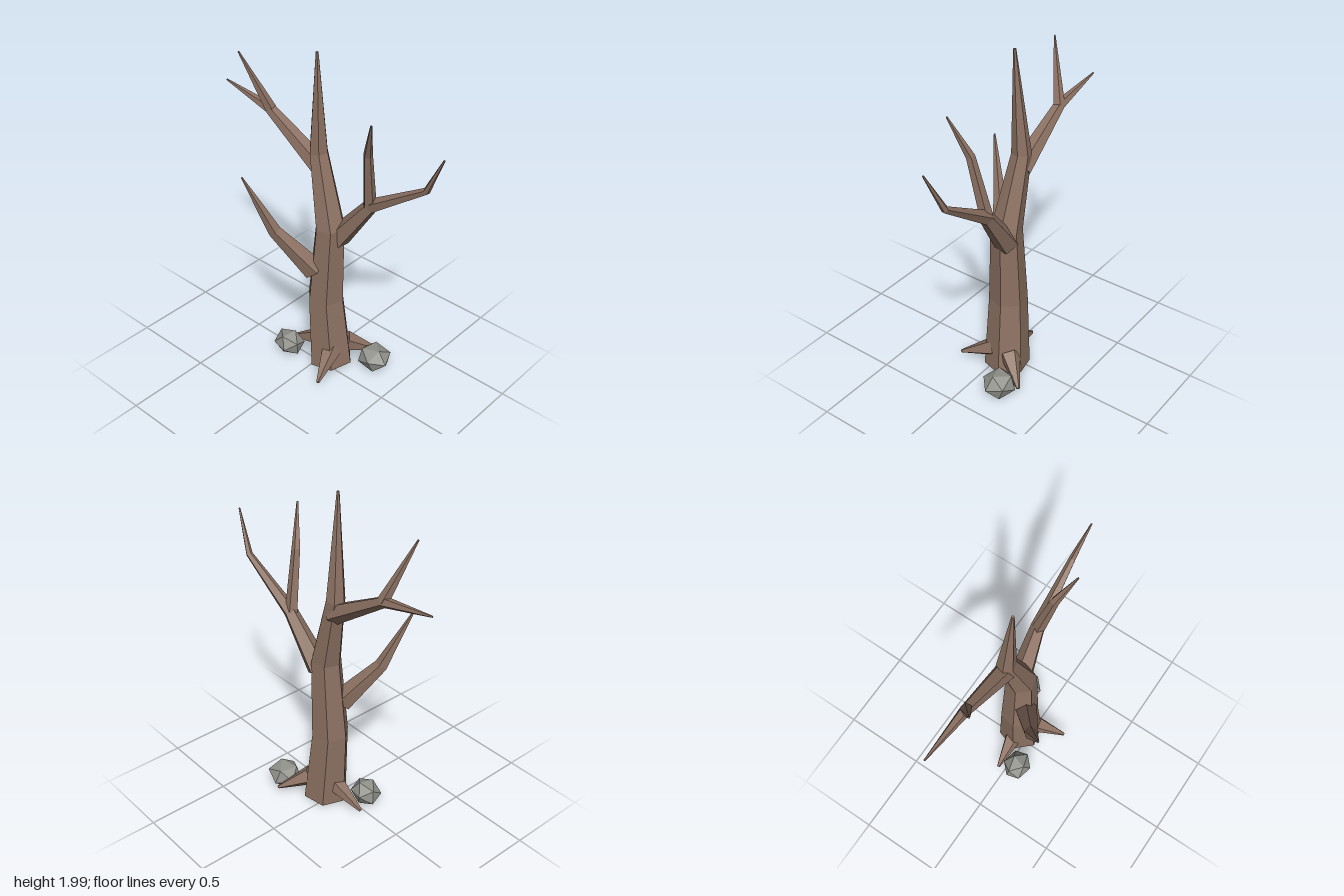
import * as THREE from 'three';

// Tapered limb: rings set square to a bent path; each point is [x, y, z, radius]
function limbGeometry(points, sides, twist = 0) {
  const centres = points.map(p => new THREE.Vector3(p[0], p[1], p[2]));
  const last = centres.length - 1;
  const dir = centres[last].clone().sub(centres[0]);
  const ref = Math.abs(dir.x) > Math.abs(dir.z)
    ? new THREE.Vector3(0, 0, 1) : new THREE.Vector3(1, 0, 0);
  const pos = [], idx = [];
  centres.forEach((c, i) => {
    const t = new THREE.Vector3();
    if (i > 0) t.add(c.clone().sub(centres[i - 1]).normalize());
    if (i < last) t.add(centres[i + 1].clone().sub(c).normalize());
    t.normalize();
    const u = ref.clone().addScaledVector(t, -ref.dot(t)).normalize();
    const w = u.clone().cross(t);
    for (let j = 0; j < sides; j++) {
      const a = twist + (j / sides) * Math.PI * 2;
      const v = c.clone()
        .addScaledVector(u, points[i][3] * Math.cos(a))
        .addScaledVector(w, points[i][3] * Math.sin(a));
      pos.push(v.x, v.y, v.z);
    }
  });
  for (let i = 0; i < last; i++) {
    for (let j = 0; j < sides; j++) {
      const k = (j + 1) % sides;
      const a = i * sides + j, b = i * sides + k, c = a + sides, d = b + sides;
      idx.push(a, c, b, b, c, d);
    }
  }
  // End caps
  const e = last * sides;
  for (let j = 1; j < sides - 1; j++) {
    idx.push(0, j, j + 1, e, e + j + 1, e + j);
  }
  const g = new THREE.BufferGeometry();
  g.setAttribute('position', new THREE.Float32BufferAttribute(pos, 3));
  g.setIndex(idx);
  const flat = g.toNonIndexed();
  flat.computeVertexNormals();
  return flat;
}

export function createModel() {
  const tree = new THREE.Group();
  tree.name = 'bareTree';
  const bark = new THREE.MeshStandardMaterial({ color: 0x8d7263, flatShading: true });
  bark.name = 'bark';
  const stone = new THREE.MeshStandardMaterial({ color: 0x92928c, flatShading: true });
  stone.name = 'stone';

  const add = (name, geometry, material) => {
    const mesh = new THREE.Mesh(geometry, material);
    mesh.name = name;
    tree.add(mesh);
    return mesh;
  };

  // Trunk
  add('trunk', limbGeometry([
    [0.05, 0.02, -0.065, 0.135],
    [0.02, 0.48, -0.05, 0.112],
    [0.045, 0.97, -0.055, 0.09],
    [-0.06, 1.4, -0.075, 0.056],
    [-0.04, 2.0, -0.04, 0.008],
  ], 6, 0.3), bark);

  // Branches and twigs
  const branches = {
    leftBranch: [[0.08, 0.9, -0.08, 0.07], [0.29, 1.185, -0.105, 0.042],
      [0.635, 1.415, -0.12, 0.02], [0.75, 1.65, -0.09, 0.005]],
    leftTwig: [[0.285, 1.19, -0.1, 0.038], [0.32, 1.54, -0.03, 0.026],
      [0.4, 1.77, 0.05, 0.005]],
    rightBranch: [[-0.05, 1.31, -0.078, 0.06], [-0.42, 1.54, -0.07, 0.032],
      [-0.758, 1.605, -0.07, 0.005]],
    rightTwig: [[-0.415, 1.54, -0.07, 0.034], [-0.528, 1.885, 0.048, 0.005]],
    frontBranch: [[-0.01, 0.69, 0.015, 0.07], [-0.18, 0.95, 0.16, 0.04],
      [-0.293, 1.3, 0.283, 0.005]],
  };
  for (const [name, path] of Object.entries(branches)) {
    add(name, limbGeometry(path, 5, 0.4), bark);
  }

  // Roots
  const roots = {
    frontRoot: [[0.1, 0.14, -0.01, 0.062], [0.17, 0.05, 0.187, 0.01]],
    backRoot: [[0.11, 0.14, -0.13, 0.062], [0.235, 0.05, -0.28, 0.01]],
    sideRoot: [[-0.02, 0.14, -0.06, 0.062], [-0.24, 0.04, -0.04, 0.01]],
  };
  for (const [name, path] of Object.entries(roots)) {
    add(name, limbGeometry(path, 5, 0.3), bark);
  }

  // Stones
  const stones = [
    ['leftStone', [0.29, 0.08, -0.185], [0.106, 0.08, 0.1], [0.35, 0.3, 0.2]],
    ['rightStone', [-0.175, 0.09, 0.06], [0.098, 0.08, 0.085], [0.5, 1.3, 0.4]],
  ];
  for (const [name, at, size, turn] of stones) {
    const g = new THREE.IcosahedronGeometry(1, 0);
    g.rotateX(turn[0]).rotateY(turn[1]).rotateZ(turn[2]);
    g.scale(...size);
    add(name, g, stone).position.set(...at);
  }
  return tree;
}
